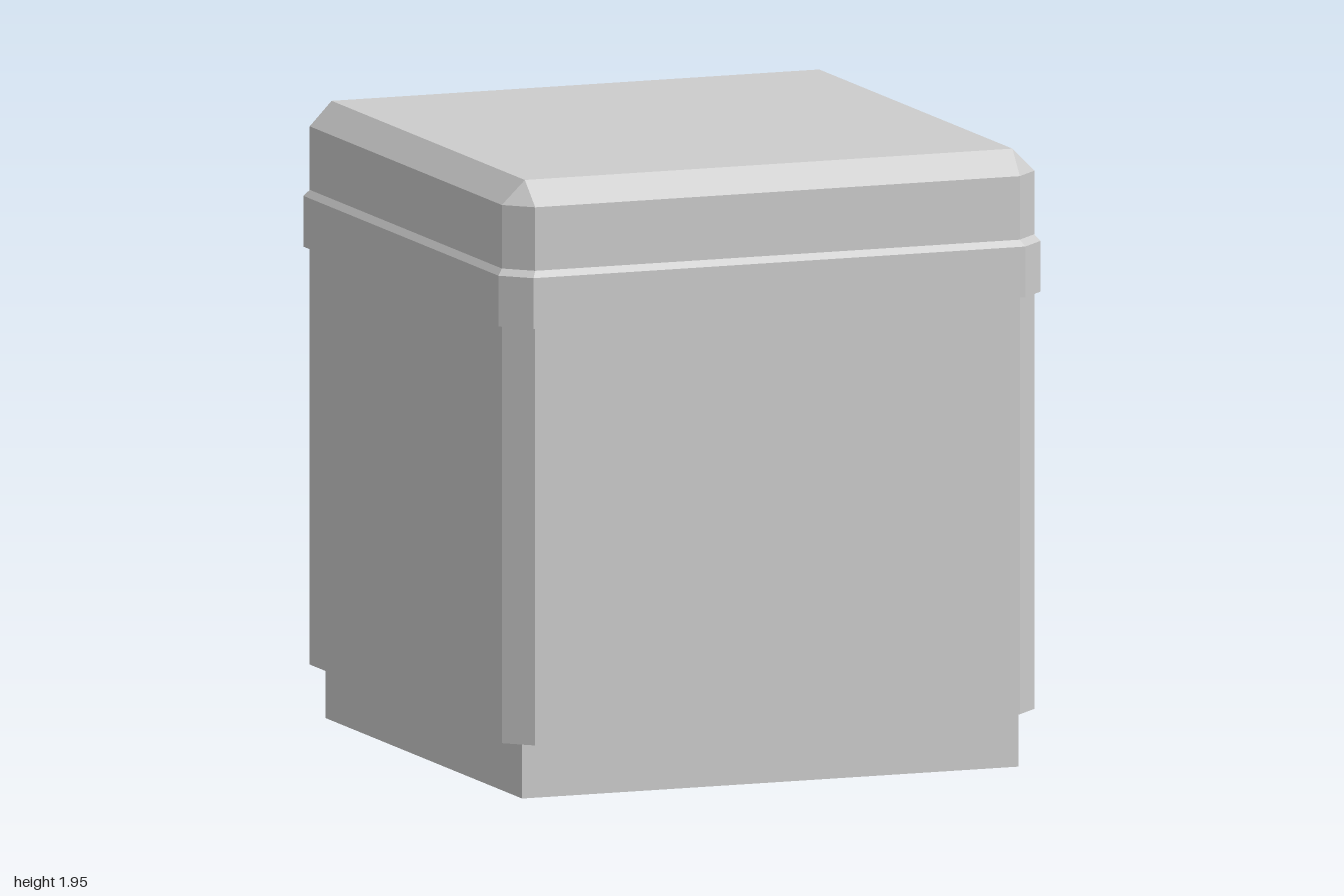
import * as THREE from 'three';

const grey = new THREE.MeshStandardMaterial({ color: 0xcccccc, side: THREE.DoubleSide });
grey.name = 'plain grey';

// Centre of the square box body
const CX = -0.093, CZ = 0.092;

function add(parent, name, geometry, x = 0, y = 0, z = 0) {
  const mesh = new THREE.Mesh(geometry, grey);
  mesh.name = name;
  mesh.position.set(x, y, z);
  parent.add(mesh);
  return mesh;
}

// Box given by its min and max corners
function block(parent, name, x0, x1, y0, y1, z0, z1) {
  return add(parent, name, new THREE.BoxGeometry(x1 - x0, y1 - y0, z1 - z0),
    (x0 + x1) / 2, (y0 + y1) / 2, (z0 + z1) / 2);
}

// Square outline with cut corners, in order around the box
function ring([y, h, c]) {
  const k = h - c;
  return [[-k, h], [k, h], [h, k], [h, -k], [k, -h], [-k, -h], [-h, -k], [-h, k]]
    .map(([x, z]) => new THREE.Vector3(x, y, z));
}

// Flat-faced loft through [height, half width, corner cut] sections
function loft(sections) {
  const rings = sections.map(ring);
  const points = [];
  const tri = (a, b, c) => {
    if (new THREE.Triangle(a, b, c).getArea() > 1e-7) points.push(a, b, c);
  };
  for (let i = 0; i < rings.length - 1; i++) {
    for (let j = 0; j < 8; j++) {
      const n = (j + 1) % 8, lo = rings[i], hi = rings[i + 1];
      tri(lo[j], lo[n], hi[n]);
      tri(lo[j], hi[n], hi[j]);
    }
  }
  const geometry = new THREE.BufferGeometry().setFromPoints(points);
  geometry.computeVertexNormals();
  return geometry;
}

function polygon(points) {
  return new THREE.Shape(points.map(([x, y]) => new THREE.Vector2(x, y)));
}

// Board with all edges bevelled
function board(parent, name, x0, x1, y0, y1, z0, z1, b = 0.018) {
  const w = (x1 - x0) / 2 - b, h = (y1 - y0) / 2 - b, d = z1 - z0 - 2 * b;
  const shape = polygon([[-w, -h], [w, -h], [w, h], [-w, h]]);
  const geometry = new THREE.ExtrudeGeometry(shape, {
    depth: d, bevelEnabled: true, bevelSize: b, bevelThickness: b, bevelSegments: 1,
  });
  return add(parent, name, geometry, (x0 + x1) / 2, (y0 + y1) / 2, z0 + b);
}

export function createModel() {
  const model = new THREE.Group();
  model.name = 'boxWithShelves';

  // Hollow body, open below, with a stepped plinth
  const box = new THREE.Group();
  box.name = 'box';
  box.position.set(CX, 0, CZ);
  model.add(box);
  add(box, 'plinth', loft([[0, 0.83, 0], [0.175, 0.83, 0], [0.175, 0.89, 0.08]]));
  add(box, 'body', loft([[0.175, 0.89, 0.08], [1.49, 0.89, 0.08]]));
  add(box, 'band', loft([[1.49, 0.89, 0.08], [1.49, 0.906, 0.084], [1.65, 0.906, 0.084], [1.67, 0.89, 0.08]]));
  add(box, 'lid', loft([[1.67, 0.89, 0.08], [1.87, 0.89, 0.08], [1.945, 0.815, 0], [1.945, 0, 0]]));

  // Ring and cross set on the lid
  const ringPlate = new THREE.RingGeometry(0.39, 0.483, 20);
  ringPlate.rotateX(-Math.PI / 2);
  add(box, 'lidRing', ringPlate, 0, 1.947, 0);
  const a = 0.05, l = 0.308;
  const cross = new THREE.ShapeGeometry(polygon([
    [-a, -l], [a, -l], [a, -a], [l, -a], [l, a], [a, a],
    [a, l], [-a, l], [-a, a], [-l, a], [-l, -a], [-a, -a],
  ]));
  cross.rotateX(-Math.PI / 2);
  add(box, 'lidCross', cross, 0, 1.947, 0);

  // Shelves along the left and back walls, each with a bracket
  board(model, 'sideShelf', 0.79, 0.995, 0.76, 0.83, -0.805, 0.405);
  board(model, 'backShelf', -0.365, 0.995, 0.76, 0.83, -0.998, -0.805);
  block(model, 'sideBracket', 0.79, 0.93, 0.575, 0.765, 0.275, 0.335);
  block(model, 'backBracket', -0.3, -0.24, 0.575, 0.765, -0.93, -0.79);

  // Headset hanging on a hook
  const headset = new THREE.Group();
  headset.name = 'headset';
  model.add(headset);
  block(headset, 'hook', 0.79, 0.903, 1.365, 1.435, -0.035, 0.035);
  block(headset, 'headband', 0.86, 0.92, 1.305, 1.375, -0.197, 0.197);
  for (const s of [-1, 1]) {
    add(headset, 'headbandArm', new THREE.BoxGeometry(0.06, 0.25, 0.07), 0.89, 1.198, s * 0.18);
    const cup = new THREE.CylinderGeometry(0.1, 0.1, 0.085, 6);
    cup.rotateX(Math.PI / 2);
    add(headset, 'earCup', cup, 0.887, 1.05, s * 0.187);
  }

  // Desk telephone on the back shelf
  const phone = new THREE.Group();
  phone.name = 'telephone';
  model.add(phone);
  const profile = polygon([[0.81, 0.825], [0.985, 0.825], [0.968, 0.905], [0.89, 0.945], [0.84, 0.965]]);
  const base = new THREE.ExtrudeGeometry(profile, { depth: 0.36, bevelEnabled: false });
  base.rotateY(Math.PI / 2);
  base.scale(1, 1, 1);
  add(phone, 'phoneBase', base, -0.122, 0, 0);
  block(phone, 'handsetGrip', -0.137, 0.252, 0.985, 1.035, -0.945, -0.858);
  block(phone, 'mouthpiece', -0.162, -0.055, 0.945, 1.015, -0.957, -0.842);
  block(phone, 'earpiece', 0.17, 0.277, 0.945, 1.015, -0.957, -0.842);

  return model;
}
